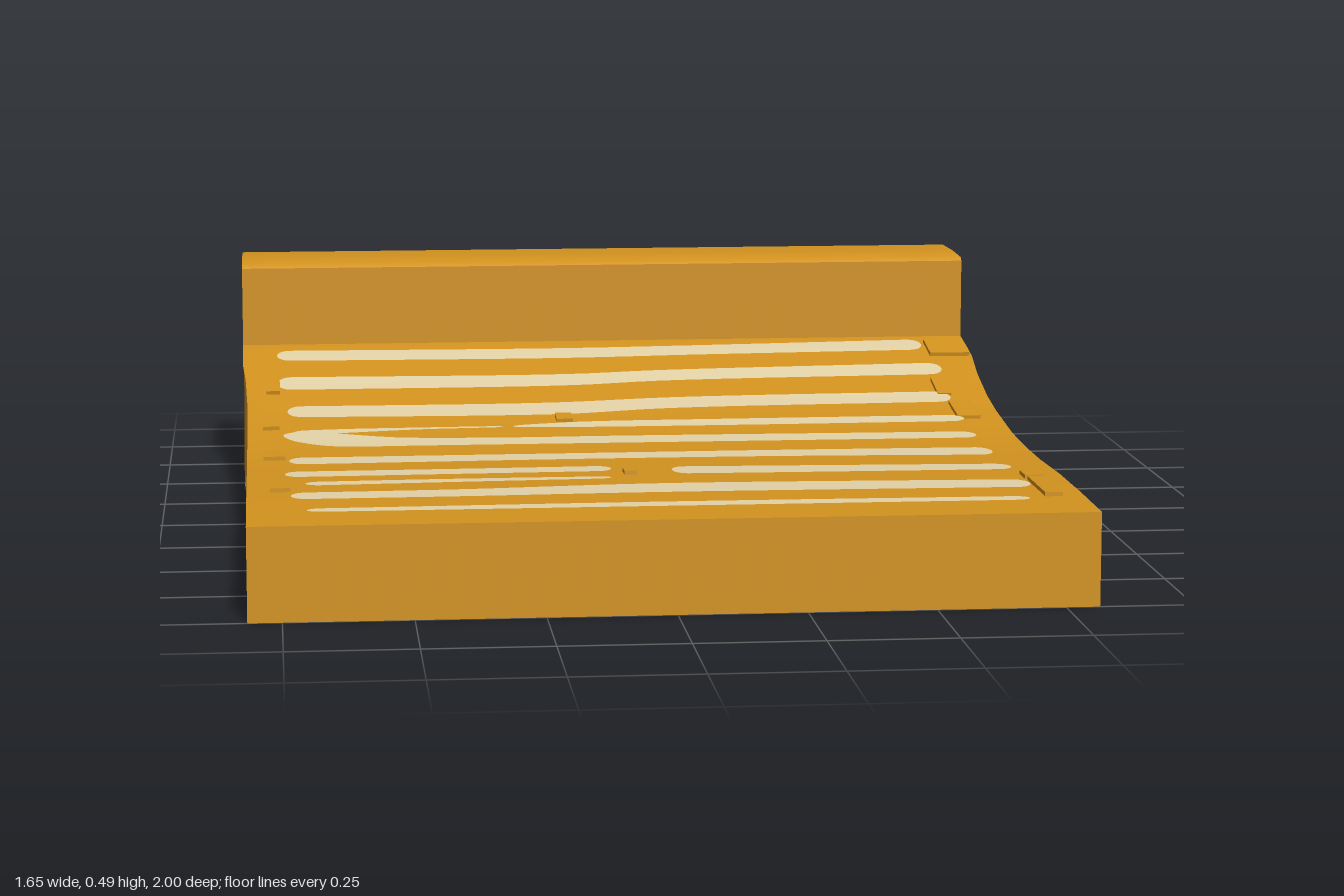
import * as THREE from 'three';
import { toCreasedNormals } from 'three/addons/utils/BufferGeometryUtils.js';

const ochre = new THREE.MeshStandardMaterial({ color: 0xd2921e });
ochre.name = 'ochre';
const paleTan = new THREE.MeshStandardMaterial({ color: 0xe2d1a6, side: THREE.DoubleSide });
paleTan.name = 'pale tan';

// Height of the sloping deck as [z, y], front to back
const DECK = [[1, 0.185], [0.8, 0.188], [0.6, 0.188], [0.4, 0.183], [0.25, 0.183], [0.1, 0.188], [0, 0.197],
  [-0.1, 0.207], [-0.2, 0.222], [-0.3, 0.243], [-0.4, 0.265], [-0.45, 0.275], [-0.52, 0.288], [-0.6, 0.3]];
// Raised block behind the deck, with a rounded rear top edge
const BLOCK = [[-0.6, 0.475], [-0.61, 0.482], [-0.72, 0.485], [-0.85, 0.483], [-0.89, 0.477], [-0.92, 0.463],
  [-0.94, 0.44], [-0.953, 0.4], [-0.96, 0.3], [-0.968, 0.15], [-0.975, 0]];
// Shallow recess below, crossed by low ribs toward the front
const RECESS = 0.025;
const RIBS = [0.22, 0.4, 0.66, 0.8];
const UNDERSIDE = [[0.95, 0], [0.94, RECESS],
  ...RIBS.flatMap((z) => [[z - 0.03, RECESS], [z, 0.008], [z + 0.03, RECESS]]).reverse(),
  [-0.45, RECESS], [-0.63, RECESS], [-0.65, 0]];

// Height at z along a profile that runs front to back
function heightOn(profile, z) {
  for (let i = 1; i < profile.length; i++) {
    const [z0, y0] = profile[i - 1], [z1, y1] = profile[i];
    if (z >= z1) return THREE.MathUtils.mapLinear(z, z0, z1, y0, y1);
  }
  return profile[profile.length - 1][1];
}
const deckY = (z) => heightOn(DECK, z);

// Body: side profile extruded across the width
function bodyGeometry() {
  const pts = [[1, 0], ...DECK, ...BLOCK, ...[...UNDERSIDE].reverse()];
  const shape = new THREE.Shape(pts.map(([z, y]) => new THREE.Vector2(-z, y)));
  const geo = new THREE.ExtrudeGeometry(shape, { depth: 2, steps: 24, bevelEnabled: false });
  geo.translate(0, 0, -1).rotateY(Math.PI / 2);
  const p = geo.attributes.position;
  for (let i = 0; i < p.count; i++) {
    let x = p.getX(i), y = p.getY(i), z = p.getZ(i);
    // slightly wider at the back
    x *= z < -0.44 ? 0.826 : 0.816;
    // the rear edge flares up and back at the right end
    if (z < -0.86) {
      const k = Math.max(0, (-0.45 - x) / 0.376) ** 2;
      if (y > 0.38) y += (0.468 - y) * k * 0.85;
      z -= 0.025 * k;
    }
    p.setXYZ(i, x, y, z);
  }
  return toCreasedNormals(geo, 0.6);
}

// Painted stripe from [x, z, half width] points, draped over a height function
function stripeGeometry(points, heightAt) {
  const N = 48, M = 6;
  const centre = new THREE.CatmullRomCurve3(points.map((q) => new THREE.Vector3(...q)));
  const x0 = points[0][0], x1 = points[points.length - 1][0];
  const pos = [], idx = [];
  for (let i = 0; i <= N; i++) {
    const c = centre.getPointAt((1 - Math.cos((i / N) * Math.PI)) / 2);
    const w = Math.max(c.z, 0.004);
    const d = Math.min(1, Math.max(0, Math.min(c.x - x0, x1 - c.x)) / 0.03);
    const half = w * Math.sqrt(1 - (1 - d) ** 2);
    for (let j = 0; j <= M; j++) {
      const z = c.y + half * ((2 * j) / M - 1);
      pos.push(c.x, heightAt(z), z);
      if (i < N && j < M) {
        const a = i * (M + 1) + j, b = a + M + 1;
        idx.push(a, a + 1, b, b, a + 1, b + 1);
      }
    }
  }
  const geo = new THREE.BufferGeometry();
  geo.setAttribute('position', new THREE.Float32BufferAttribute(pos, 3));
  geo.setIndex(idx);
  geo.computeVertexNormals();
  return geo;
}

const STRIPES = [
  [[-0.75, -0.497, 0.035], [-0.1, -0.49, 0.034], [0.2, -0.5, 0.033], [0.72, -0.518, 0.038]],
  [[-0.75, -0.32, 0.038], [-0.1, -0.32, 0.034], [0.1, -0.338, 0.032], [0.74, -0.357, 0.035]],
  [[-0.73, -0.14, 0.038], [-0.15, -0.137, 0.042], [0.1, -0.165, 0.038], [0.73, -0.18, 0.036]],
  [[-0.72, 0.03, 0.02], [-0.6, 0.017, 0.016], [-0.45, 0.006, 0.008], [-0.27, 0.001, 0.005]],
  [[-0.25, 0, 0.008], [-0.1, -0.008, 0.022], [0.2, -0.01, 0.026], [0.73, -0.013, 0.026]],
  [[-0.74, 0.05, 0.028], [-0.66, 0.085, 0.06], [-0.6, 0.105, 0.058], [-0.5, 0.12, 0.042],
    [-0.3, 0.127, 0.035], [0, 0.128, 0.036], [0.73, 0.135, 0.033]],
  [[-0.73, 0.31, 0.04], [-0.1, 0.303, 0.035], [0.3, 0.305, 0.038], [0.73, 0.32, 0.046]],
  [[-0.74, 0.477, 0.036], [-0.4, 0.472, 0.034], [-0.08, 0.465, 0.034]],
  [[0.04, 0.5, 0.048], [0.3, 0.51, 0.045], [0.73, 0.525, 0.037]],
  [[-0.7, 0.602, 0.022], [-0.4, 0.59, 0.02], [-0.09, 0.584, 0.014]],
  [[-0.73, 0.735, 0.035], [-0.4, 0.73, 0.038], [0, 0.71, 0.048], [0.73, 0.727, 0.042]],
  [[-0.7, 0.882, 0.016], [0, 0.877, 0.021], [0.7, 0.88, 0.018]],
];

// Small lumps along the deck edges: x, z, width, length
const LUMPS = [[0.775, -0.5, 0.09, 0.1], [0.745, -0.09, 0.05, 0.12], [0.72, -0.25, 0.03, 0.1],
  [0.755, 0.75, 0.035, 0.18], [0.755, 0.62, 0.04, 0.06], [-0.76, -0.31, 0.03, 0.08],
  [-0.765, -0.06, 0.035, 0.08], [-0.76, 0.23, 0.045, 0.07], [-0.75, 0.645, 0.04, 0.03],
  [-0.135, -0.075, 0.035, 0.05], [-0.045, 0.49, 0.025, 0.05]];

export function createModel() {
  const model = new THREE.Group();
  model.name = 'slopedDeck';
  const add = (name, geo, mat) => {
    const mesh = new THREE.Mesh(geo, mat);
    mesh.name = name;
    model.add(mesh);
    return mesh;
  };

  add('body', bodyGeometry(), ochre);

  // Side rails close the recess: outer x, back z, front z
  for (const side of [-1, 1]) {
    for (const [outer, z0, z1] of [[0.816, -0.45, 0.95], [0.826, -0.65, -0.45]]) {
      const rail = add('sideRail', new THREE.BoxGeometry(outer - 0.765, RECESS, z1 - z0), ochre);
      rail.position.set(side * (outer + 0.765) / 2, RECESS / 2, (z0 + z1) / 2);
    }
  }

  // The same stripes mark the deck and the underside
  STRIPES.forEach((s, i) => {
    add('deckStripe' + (i + 1), stripeGeometry(s, (z) => deckY(z) + 0.006), paleTan);
    add('undersideStripe' + (i + 1), stripeGeometry(s, (z) => heightOn(UNDERSIDE, z) - 0.005), paleTan);
  });

  // Lumps lie along the slope of the deck
  LUMPS.forEach(([x, z, w, l], i) => {
    const lump = add('edgeLump' + (i + 1), new THREE.BoxGeometry(w, 0.016, l), ochre);
    lump.position.set(x, deckY(z), z);
    lump.rotation.x = Math.atan2(deckY(z - 0.05) - deckY(z + 0.05), 0.1);
  });

  return model;
}
